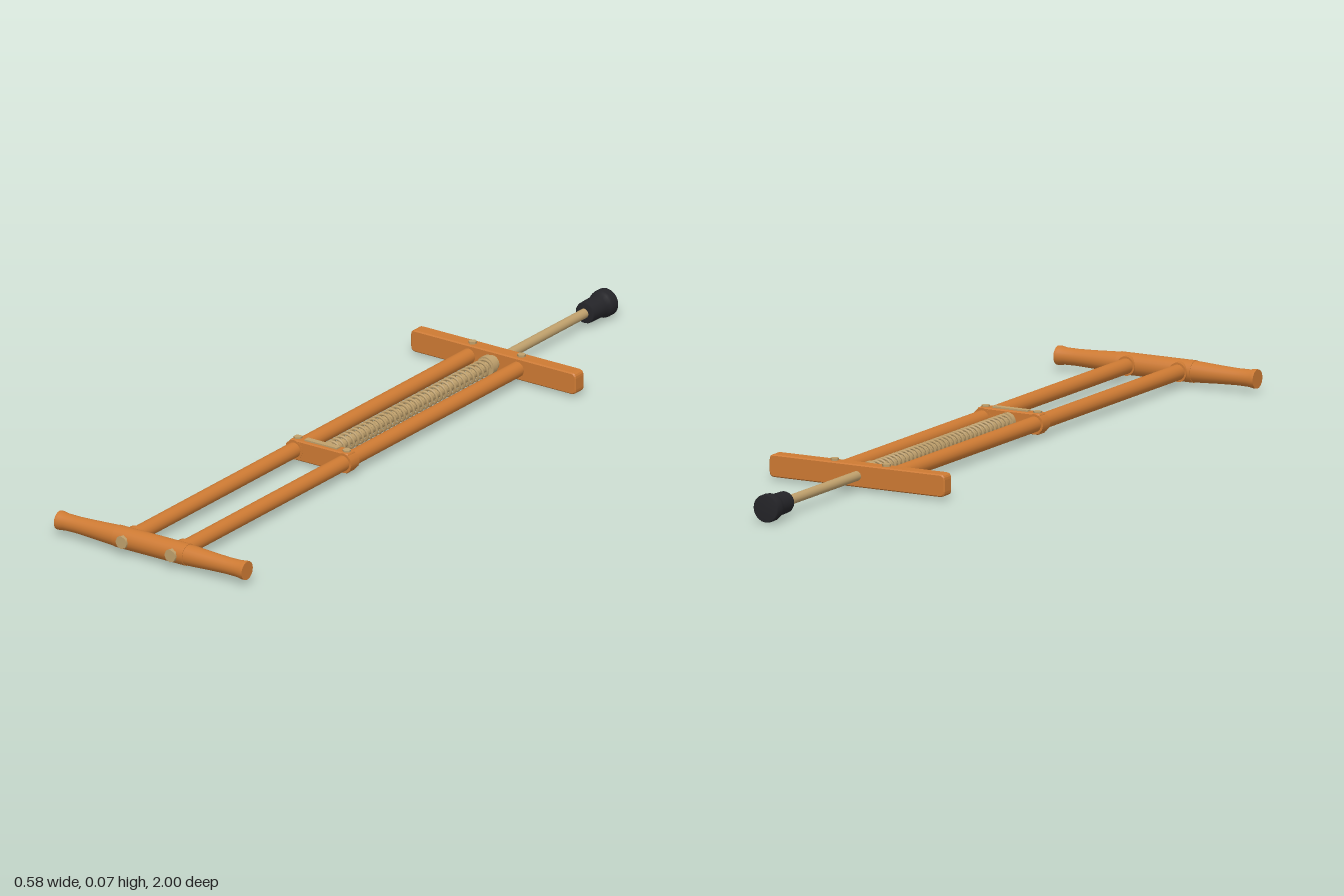
import * as THREE from 'three';

const MID = 0.038; // height of the frame's centre line
const RAIL = 0.075; // rail offset from the middle

export function createModel() {
  const group = new THREE.Group();
  const mat = (name, color) => {
    const m = new THREE.MeshStandardMaterial({ color });
    m.name = name;
    return m;
  };
  const orange = mat('orange paint', 0xcd7a33);
  const brass = mat('brass metal', 0xbfa06c);
  const rubber = mat('black rubber', 0x242428);

  const add = (name, geo, material, x, y, z) => {
    const mesh = new THREE.Mesh(geo, material);
    mesh.name = name;
    mesh.position.set(x, y, z);
    group.add(mesh);
    return mesh;
  };
  // Cylinder running along z
  const rod = (r, z0, z1, sides = 20) =>
    new THREE.CylinderGeometry(r, r, z1 - z0, sides).rotateX(Math.PI / 2).translate(0, 0, (z0 + z1) / 2);
  // Turned shape from [radius, distance] pairs
  const turned = (pts, sides = 24) => new THREE.LatheGeometry(pts.map(([r, t]) => new THREE.Vector2(r, t)), sides);
  // Rounded bar seen from the front, extruded along z
  const bar = (w, h, d, r) => {
    const s = new THREE.Shape();
    const x = w / 2, y = h / 2;
    s.moveTo(-x + r, -y);
    s.lineTo(x - r, -y).quadraticCurveTo(x, -y, x, -y + r);
    s.lineTo(x, y - r).quadraticCurveTo(x, y, x - r, y);
    s.lineTo(-x + r, y).quadraticCurveTo(-x, y, -x, y - r);
    s.lineTo(-x, -y + r).quadraticCurveTo(-x, -y, -x + r, -y);
    const b = 0.003;
    return new THREE.ExtrudeGeometry(s, {
      depth: d - 2 * b, bevelThickness: b, bevelSize: b, bevelOffset: -b, bevelSegments: 1, curveSegments: 4,
    }).translate(0, 0, b - d / 2);
  };

  // Handlebar: central sleeve and two waisted grips
  add('handleSleeve', new THREE.CylinderGeometry(0.0285, 0.0285, 0.216, 24).rotateZ(Math.PI / 2), orange, 0, MID, 0.963);
  for (const side of [-1, 1]) {
    const grip = turned([[0.0275, 0.1], [0.0265, 0.125], [0.0235, 0.18], [0.0215, 0.23], [0.022, 0.265], [0.0245, 0.279], [0.0245, 0.288]]);
    add('handleGrip', grip.rotateZ(-side * Math.PI / 2), orange, 0, MID, 0.963);
    add('gripEnd', new THREE.CircleGeometry(0.0245, 24).rotateY(side * Math.PI / 2), orange, side * 0.288, MID, 0.963);
  }

  // Side rails with their collars and bolts
  for (const side of [-1, 1]) {
    const x = side * RAIL;
    add('rail', rod(0.02, -0.51, 0.955), orange, x, MID, 0);
    add('railCollar', rod(0.025, 0.932, 0.95), orange, x, MID, 0);
    add('handleBolt', rod(0.017, 0.975, 0.997, 8), brass, x, MID, 0);
    add('braceCollar', rod(0.0265, 0.214, 0.25, 12), orange, x, MID, 0);
    for (const [z, top] of [[0.232, 0.069], [-0.523, 0.073]]) {
      add('topBolt', new THREE.CylinderGeometry(0.011, 0.011, 0.012, 6), brass, x, top - 0.006, z);
    }
  }

  // Middle brace and its top plate
  add('brace', bar(0.18, 0.054, 0.034, 0.008), orange, 0, MID, 0.232);
  add('bracePlate', new THREE.BoxGeometry(0.1, 0.006, 0.016), brass, 0, 0.066, 0.232);

  // Footrest
  add('footrest', bar(0.506, 0.058, 0.038, 0.014), orange, 0, MID, -0.524);

  // Plunger rod with spring seats
  add('plungerRod', rod(0.0125, -0.93, 0.22), brass, 0, MID, 0);
  add('frontSpringSeat', rod(0.023, 0.2, 0.214), brass, 0, MID, 0);
  add('rearSpringSeat', rod(0.026, -0.49, -0.472), brass, 0, MID, 0);
  add('rearSpringCollar', rod(0.02, -0.506, -0.488), brass, 0, MID, 0);

  // Coil spring
  const turns = 34;
  const coil = new THREE.Curve();
  coil.getPoint = (t, target = new THREE.Vector3()) => {
    const a = t * turns * Math.PI * 2;
    return target.set(0.02 * Math.cos(a), 0.02 * Math.sin(a), -0.474 + 0.678 * t);
  };
  add('spring', new THREE.TubeGeometry(coil, turns * 14, 0.0038, 6), brass, 0, MID, 0);

  // Rubber foot, narrow sleeve flaring to a wide tip
  const foot = turned([[0, -1], [0.033, -1], [0.036, -0.996], [0.036, -0.976], [0.034, -0.968], [0.029, -0.955], [0.028, -0.905], [0.026, -0.9], [0, -0.9]], 20);
  foot.rotateX(Math.PI / 2);
  add('rubberFoot', foot, rubber, 0, MID, 0);

  return group;
}
